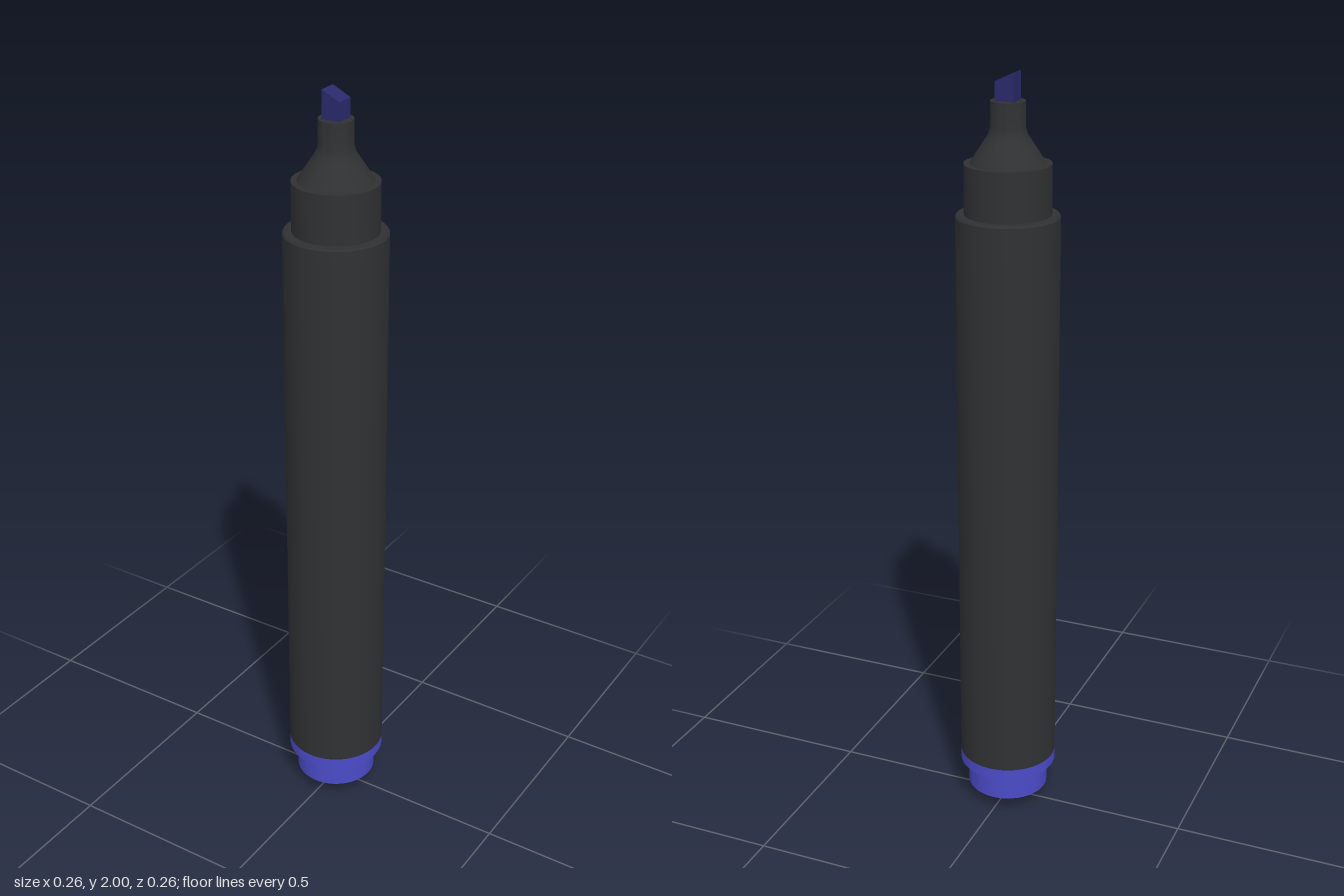
import * as THREE from 'three';
import { toCreasedNormals } from 'three/addons/utils/BufferGeometryUtils.js';

const black = new THREE.MeshStandardMaterial({ color: 0x303133 });
const blue = new THREE.MeshStandardMaterial({ color: 0x4b4bc8 });
const ink = new THREE.MeshStandardMaterial({ color: 0x2a2a6c });

// Turned part from [radius, height] pairs, listed bottom to top
function turned(name, profile, material) {
  const points = profile.map(([r, y]) => new THREE.Vector2(r, y));
  const mesh = new THREE.Mesh(toCreasedNormals(new THREE.LatheGeometry(points, 64), 0.6), material);
  mesh.name = name;
  return mesh;
}

export function createModel() {
  const group = new THREE.Group();
  group.name = 'markerPen';

  // Barrel with slightly eased top edge
  group.add(turned('barrel', [[0, 0.145], [0.13, 0.145], [0.13, 1.65], [0.126, 1.655], [0, 1.655]], black));

  // Collar, sloping shoulder and narrow nib holder
  group.add(turned('nibHolder', [
    [0.108, 1.65], [0.108, 1.78], [0.094, 1.78], [0.058, 1.835], [0.048, 1.85],
    [0.043, 1.868], [0.043, 1.93], [0, 1.93],
  ], black));

  // End plug: band flush with the barrel, then a narrower stub
  group.add(turned('endPlug', [
    [0, 0.04], [0.108, 0.04], [0.108, 0.115], [0.13, 0.115], [0.13, 0.145], [0, 0.145],
  ], blue));

  // Shallow dome under the plug
  const dome = [];
  for (let i = 0; i <= 10; i++) {
    const r = 0.068 * i / 10;
    const R = (0.068 ** 2 + 0.04 ** 2) / 0.08;
    dome.push([r, R - Math.sqrt(R * R - r * r)]);
  }
  group.add(turned('endDome', dome, blue));

  // Square chisel nib with a slanted top
  const outline = new THREE.Shape([[-0.024, 1.9], [0.024, 1.9], [0.024, 1.977], [-0.024, 2]]
    .map(([x, y]) => new THREE.Vector2(x, y)));
  const nib = new THREE.Mesh(
    new THREE.ExtrudeGeometry(outline, { depth: 0.048, bevelEnabled: false }).translate(0, 0, -0.024), ink);
  nib.name = 'nib';
  group.add(nib);

  return group;
}
